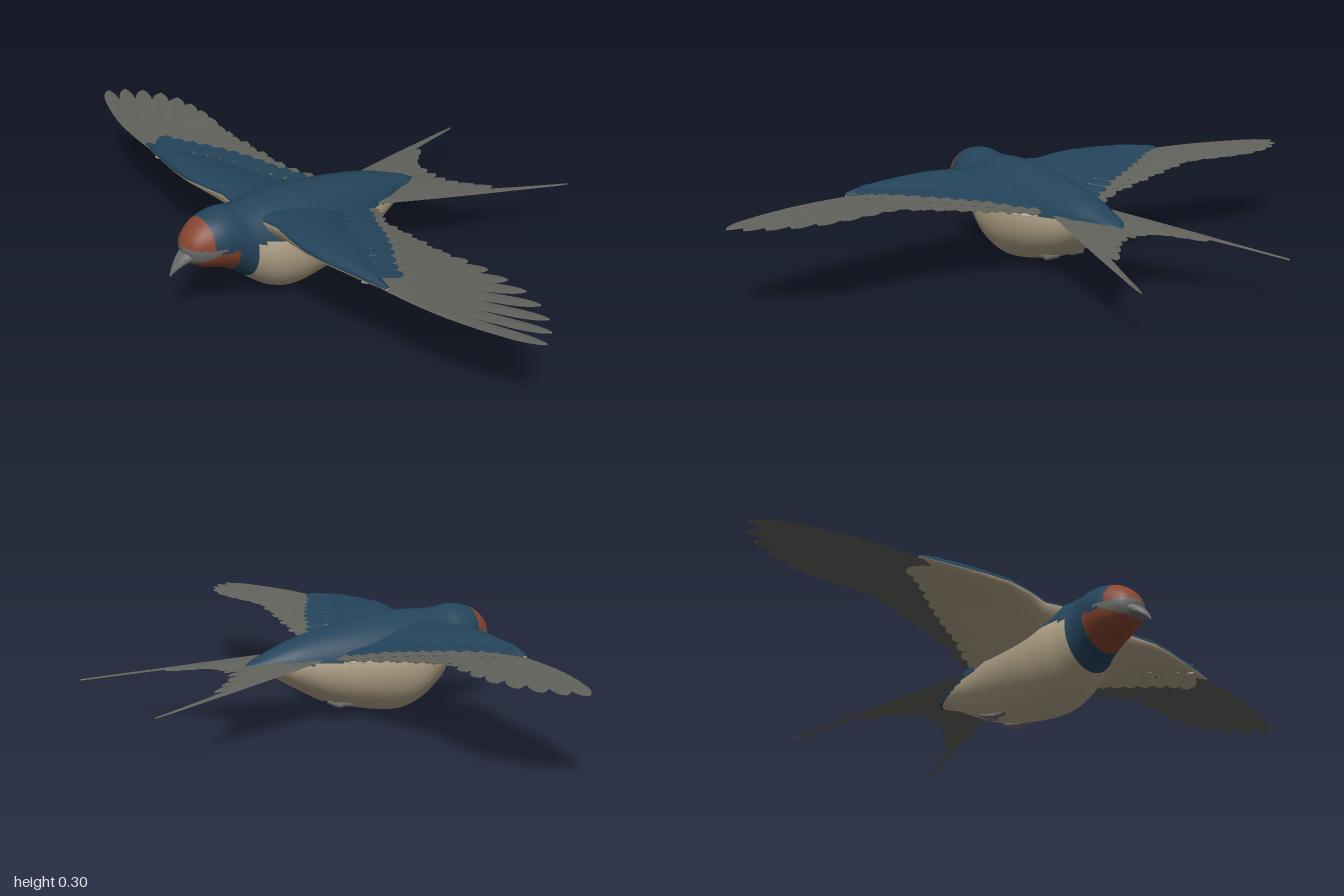
import * as THREE from 'three';
import { toCreasedNormals } from 'three/addons/utils/BufferGeometryUtils.js';

const V = (x, y, z) => new THREE.Vector3(x, y, z);
const lerp = THREE.MathUtils.lerp;

export function createModel() {
  const model = new THREE.Group();
  model.name = 'swallow';
  const make = (name, color) => {
    const m = new THREE.MeshStandardMaterial({ color });
    m.name = name;
    return m;
  };
  const blue = make('steelBlue', 0x24445b);
  const cream = make('cream', 0xb5a58a);
  const rust = make('rust', 0x86452f);
  const grey = make('featherGrey', 0x62625d);
  const hornGrey = make('hornGrey', 0x6a6a69);

  // Skin closed rings into a capped solid; pick(centre, j) chooses a material index per quad.
  function loft(rings, crease, pick = () => 0) {
    const n = rings[0].length, verts = rings.flat(), lists = [[], [], [], []];
    for (let i = 0; i < rings.length - 1; i++) for (let j = 0; j < n; j++) {
      const k = (j + 1) % n;
      const a = i * n + j, b = i * n + k, c = a + n, d = b + n;
      const mid = V(0, 0, 0);
      [a, b, c, d].forEach((q) => mid.addScaledVector(verts[q], 0.25));
      lists[pick(mid, j)].push(a, b, c, b, d, c);
    }
    [0, rings.length - 1].forEach((r) => {
      const centre = V(0, 0, 0);
      rings[r].forEach((p) => centre.addScaledVector(p, 1 / n));
      const ci = verts.push(centre) - 1;
      for (let j = 0; j < n; j++) {
        const a = r * n + j, b = r * n + (j + 1) % n;
        lists[pick(centre, j)].push(...(r ? [a, b, ci] : [b, a, ci]));
      }
    });
    // Turn the faces outward if the signed volume is negative
    const index = lists.flat();
    let volume = 0;
    const cross = V(0, 0, 0);
    for (let i = 0; i < index.length; i += 3)
      volume += verts[index[i]].dot(cross.crossVectors(verts[index[i + 1]], verts[index[i + 2]]));
    if (volume < 0) for (let i = 0; i < index.length; i += 3)
      [index[i], index[i + 1]] = [index[i + 1], index[i]];
    const g = new THREE.BufferGeometry().setFromPoints(verts);
    g.setIndex(index);
    let start = 0;
    lists.forEach((l, m) => { if (l.length) g.addGroup(start, l.length, m); start += l.length; });
    if (crease) return toCreasedNormals(g, crease);
    g.computeVertexNormals();
    return g;
  }
  function add(parent, name, geometry, material) {
    const mesh = new THREE.Mesh(geometry, material);
    mesh.name = name;
    parent.add(mesh);
    return mesh;
  }

  // Body and head: z, top, bottom, half width
  const stations = [
    [0.592, 0.225, 0.205, 0.012], [0.575, 0.255, 0.17, 0.045], [0.54, 0.284, 0.148, 0.066],
    [0.5, 0.297, 0.135, 0.08], [0.46, 0.301, 0.115, 0.085], [0.42, 0.295, 0.088, 0.09],
    [0.38, 0.293, 0.055, 0.105], [0.33, 0.296, 0.02, 0.12], [0.27, 0.296, 0, 0.125],
    [0.2, 0.291, 0.004, 0.125], [0.1, 0.277, 0.025, 0.115], [0, 0.26, 0.058, 0.095],
    [-0.08, 0.24, 0.1, 0.075], [-0.15, 0.215, 0.14, 0.05], [-0.2, 0.195, 0.162, 0.033],
    [-0.23, 0.18, 0.172, 0.01]];
  const heights = new THREE.CatmullRomCurve3(stations.map((s) => V(s[0], s[1], s[2])), false, 'catmullrom');
  const widths = new THREE.CatmullRomCurve3(stations.map((s) => V(s[0], s[3], 0)), false, 'catmullrom');
  const bodyRings = [];
  for (let i = 0; i <= 110; i++) {
    const h = heights.getPoint(i / 110), w = widths.getPoint(i / 110).y;
    bodyRings.push(Array.from({ length: 64 }, (_, j) => {
      const a = j / 64 * Math.PI * 2;
      return V(w * Math.cos(a), (h.y + h.z) / 2 + (h.y - h.z) / 2 * Math.sin(a), h.x);
    }));
  }
  const plumage = ({ y, z }) => {
    if (z > 0.49 && Math.abs(y - 0.2 - (0.56 - z) * 0.2) < (z - 0.49) * 0.28) return 3; // lores
    if (y > 0.2 ? z > 0.525 : z > 0.455) return 2; // forehead and throat
    if (z > 0.4 || y > 0.18 + 0.06 * z) return 0; // hood and back
    return 1; // belly
  };
  add(model, 'body', loft(bodyRings, 0, plumage), [blue, cream, rust, hornGrey]);

  // Bill: tapering, bent downward
  const billPath = new THREE.QuadraticBezierCurve3(V(0, 0.2, 0.545), V(0, 0.195, 0.6), V(0, 0.146, 0.634));
  const billRings = [];
  for (let i = 0; i <= 10; i++) {
    const t = i / 10, p = billPath.getPoint(t), d = billPath.getTangent(t), r = 1 - t;
    billRings.push(Array.from({ length: 16 }, (_, j) => {
      const a = j / 8 * Math.PI, up = (0.003 + 0.024 * r) * Math.sin(a);
      return V((0.002 + 0.046 * r) * Math.cos(a), p.y + up * d.z, p.z - up * d.y);
    }));
  }
  add(model, 'bill', loft(billRings, 0.9), hornGrey);

  // Feather: thin ridged blade along a bent line in plan, laid on height(x, z)
  function feather(parent, name, material, side, base, tip, o) {
    const { width, bulge = 0, roll = 0, dy = 0, thick = 0.003, pointed = false, height } = o;
    const dx = tip[0] - base[0], dz = tip[1] - base[1], len = Math.hypot(dx, dz);
    const nx = -dz / len, nz = dx / len;
    const line = new THREE.QuadraticBezierCurve3(V(base[0], 0, base[1]),
      V((base[0] + tip[0]) / 2 + nx * bulge, 0, (base[1] + tip[1]) / 2 + nz * bulge), V(tip[0], 0, tip[1]));
    const rings = [];
    for (let i = 0; i <= 14; i++) {
      const t = i < 9 ? i / 9 * 0.8 : 0.8 + 0.2 * Math.sin((i - 8) / 6 * Math.PI / 2);
      const p = line.getPoint(t), d = line.getTangent(t);
      let w = width * Math.min(1, 0.5 + t);
      if (pointed) w = width * (1 - 0.75 * Math.min(1, t * 1.25));
      if (t > 0.8) w *= Math.sqrt(Math.max(0.004, 1 - ((t - 0.8) / 0.2) ** 2));
      const y = height(p.x, p.z) + dy;
      const at = (s, e) => V(side * (p.x - d.z * w * s), y + e + roll * w * s, p.z + d.x * w * s);
      rings.push([at(1, 0), at(0.15, thick), at(-1, 0), at(0.15, -thick)]);
    }
    add(parent, name, loft(rings, 0.6), material);
  }

  // Wing surface: inner trailing edge droops
  const wingY = (x, z) => 0.25 - 0.25 * (0.33 - z) * Math.max(0, 1 - x / 0.6);
  // Wing arm: x, front z, back z, upper and lower thickness
  const arm = new Array(
    [0, 0.35, 0.06, 0.03, 0.08], [0.08, 0.375, 0.06, 0.034, 0.085], [0.13, 0.365, 0.08, 0.034, 0.07],
    [0.2, 0.38, 0.13, 0.035, 0.045], [0.28, 0.39, 0.17, 0.035, 0.028], [0.36, 0.383, 0.22, 0.032, 0.02],
    [0.44, 0.368, 0.28, 0.028, 0.015], [0.5, 0.357, 0.31, 0.022, 0.012], [0.56, 0.343, 0.33, 0.008, 0.006]);
  const primaryTips = [[1, 0.203], [0.972, 0.158], [0.925, 0.12], [0.865, 0.09], [0.795, 0.072],
    [0.725, 0.07], [0.655, 0.075], [0.59, 0.085], [0.535, 0.095]];

  for (const side of [1, -1]) {
    const wing = new THREE.Group();
    wing.name = side > 0 ? 'leftWing' : 'rightWing';
    model.add(wing);

    const armRings = arm.map(([x, front, back, top, bottom]) => Array.from({ length: 32 }, (_, j) => {
      const a = (j + 0.001) / 16 * Math.PI, c = Math.cos(a), s = Math.sin(a);
      const z = (front + back) / 2 + (front - back) / 2 * c;
      return V(side * x, wingY(x, z) + s * (0.75 + 0.35 * c) * (s > 0 ? top : bottom), z);
    }));
    add(wing, 'wingArm', loft(armRings, 1, (p, j) => (j < 16 ? 0 : 1)), [blue, cream]);

    // Flight feathers
    primaryTips.forEach((tip, i) => {
      const k = i / 8;
      feather(wing, 'primaryFeather', grey, side, [lerp(0.47, 0.37, k), lerp(0.335, 0.27, k)], tip,
        { width: lerp(0.025, 0.036, k), bulge: lerp(0.05, 0.012, k), roll: 0.12, dy: -0.007 + 0.0018 * i, height: wingY });
    });
    for (let i = 0; i < 11; i++) {
      const k = i / 10;
      feather(wing, 'secondaryFeather', grey, side, [lerp(0.36, 0.06, k), lerp(0.28, 0.18, k)],
        [lerp(0.49, 0.12, k), lerp(0.085, 0.03, k) + (i % 2) * 0.008],
        { width: 0.028, bulge: 0.01, roll: 0.12, dy: 0.004 - 0.0008 * i, height: wingY });
    }
    // Coverts: grey middle row, blue upper row, cream lining row
    const rows = [
      ['greaterCovert', grey, 0.008, 0.065, 0.022], ['upperCovert', blue, 0.014, 0.03, 0.024],
      ['liningCovert', cream, -0.011, 0.03, 0.024]];
    rows.forEach(([name, material, dy, reach, width]) => {
      for (let i = 0; i < 12; i++) {
        const x = 0.1 + i * 0.035;
        const n = arm.findIndex((s) => s[0] > x), p = arm[n - 1], q = arm[n];
        const back = lerp(p[2], q[2], (x - p[0]) / (q[0] - p[0]));
        feather(wing, name, material, side, [x - 0.01, back + 0.05], [x + 0.03 + i * 0.003, back - reach],
          { width, roll: 0.1, dy, height: wingY });
      }
    });

    // Forked tail half
    const tail = new THREE.Group();
    tail.name = side > 0 ? 'leftTail' : 'rightTail';
    model.add(tail);
    const tailY = (x, z) => 0.198 + 0.1 * z;
    feather(tail, 'tailStreamer', grey, side, [0.06, -0.04], [0.264, -0.632],
      { width: 0.034, bulge: 0.012, dy: -0.005, pointed: true, height: tailY });
    [[0.165, -0.41], [0.13, -0.37], [0.095, -0.335], [0.058, -0.315], [0.02, -0.31]].forEach((tip, i) => {
      feather(tail, 'tailFeather', grey, side, [0.05 - 0.01 * i, -0.08], tip,
        { width: 0.025, bulge: 0.006, dy: -0.003 + 0.0018 * i, roll: 0.08, height: tailY });
    });

    // Tucked foot
    const foot = new THREE.Group();
    foot.name = side > 0 ? 'leftFoot' : 'rightFoot';
    model.add(foot);
    const toe = (name, pts, r) => add(foot, name, new THREE.TubeGeometry(
      new THREE.CatmullRomCurve3(pts.map((p) => V(side * p[0], p[1], p[2]))), 10, r, 8), hornGrey);
    toe('leg', [[0.045, 0.06, 0.12], [0.046, 0.04, 0.1], [0.046, 0.042, 0.065]], 0.008);
    for (const x of [0.03, 0.046, 0.062]) {
      toe('toe', [[0.046, 0.042, 0.07], [x, 0.042, 0.045], [x, 0.052, 0.018]], 0.006);
    }
  }
  return model;
}
